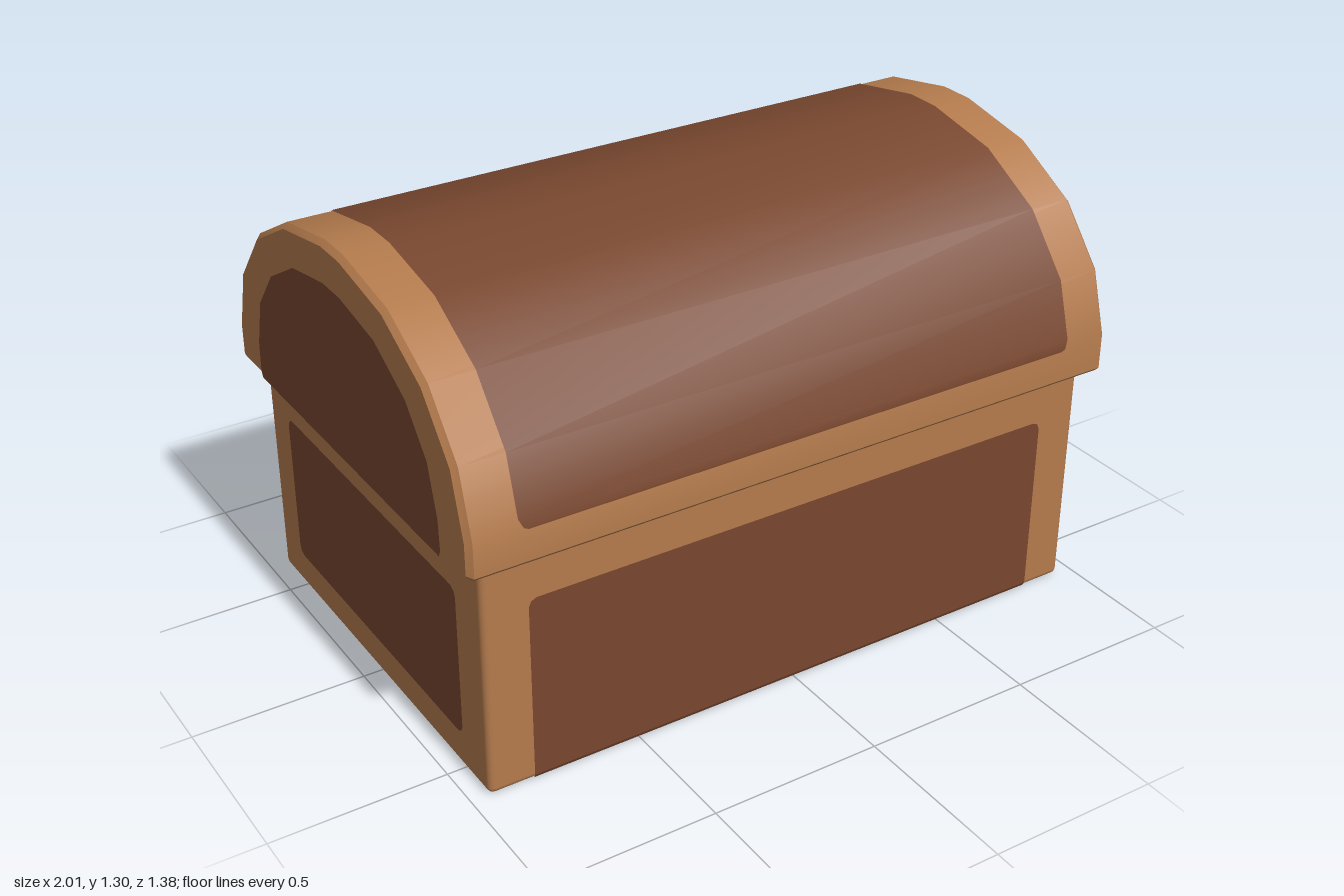
import * as THREE from 'three';
import { toCreasedNormals } from 'three/addons/utils/BufferGeometryUtils.js';
import { RoundedBoxGeometry } from 'three/addons/geometries/RoundedBoxGeometry.js';

const CREASE = 0.45;
const GAP = 0.003; // how far the painted panels stand off the frame

const lightWood = new THREE.MeshStandardMaterial({ color: 0xb47b4d });
lightWood.name = 'lightWood';
const darkWood = new THREE.MeshStandardMaterial({ color: 0x78472f });
darkWood.name = 'darkWood';

// Completes half a [z, y, ...] outline with its mirror image
const mirrored = (half) => [...half, ...half.map(([z, ...rest]) => [-z, ...rest]).reverse()];

const shapeFrom = (points) => new THREE.Shape(points.map(([z, y]) => new THREE.Vector2(z, y)));

// Sheet following a [z, y, halfWidth] path, spanning -halfWidth to +halfWidth in x
function wrapSheet(path) {
  const positions = [];
  const index = [];
  path.forEach(([z, y, w], i) => {
    positions.push(-w, y, z, w, y, z);
    const a = 2 * i;
    if (i < path.length - 1) index.push(a, a + 1, a + 3, a, a + 3, a + 2);
  });
  const geometry = new THREE.BufferGeometry();
  geometry.setAttribute('position', new THREE.Float32BufferAttribute(positions, 3));
  geometry.setIndex(index);
  return toCreasedNormals(geometry, CREASE);
}

function roundedRect(x0, y0, x1, y1, r) {
  const s = new THREE.Shape();
  s.absarc(x1 - r, y1 - r, r, 0, Math.PI / 2);
  s.absarc(x0 + r, y1 - r, r, Math.PI / 2, Math.PI);
  s.absarc(x0 + r, y0 + r, r, Math.PI, Math.PI * 1.5);
  s.absarc(x1 - r, y0 + r, r, Math.PI * 1.5, Math.PI * 2);
  return s;
}

export function createModel() {
  const group = new THREE.Group();
  const add = (name, geometry, material) => {
    const mesh = new THREE.Mesh(geometry, material);
    mesh.name = name;
    group.add(mesh);
    return mesh;
  };

  // Chest body frame, reaching a little into the lid
  const body = new RoundedBoxGeometry(1.9, 0.72, 1.28, 2, 0.018);
  body.translate(0, 0.36 + GAP, 0);
  add('bodyFrame', body, lightWood);

  // Dark panel running down the back, under the bottom and up the front
  const z = 0.64 + GAP;
  add('bodyWrapPanel', wrapSheet(mirrored([
    [-z, 0.56, 0.797], [-z, 0.553, 0.813], [-z, 0.537, 0.82],
    [-z, 0.018, 0.82], [-z + 0.006, 0.006, 0.82], [-z + 0.018, 0, 0.82],
  ])), darkWood);

  // Faceted barrel lid
  const arc = [[0.63, 0.985], [0.495, 1.145], [0.295, 1.255], [0.055, 1.3]];
  const bevel = 0.015;
  const lid = new THREE.ExtrudeGeometry(
    shapeFrom(mirrored([[0.672, 0.69], [0.685, 0.703], [0.685, 0.8], ...arc])),
    { depth: 2 - 2 * bevel, bevelSize: bevel, bevelThickness: bevel, bevelOffset: -bevel, bevelSegments: 1 },
  );
  lid.translate(0, 0, bevel - 1);
  lid.rotateY(Math.PI / 2);
  add('lidFrame', toCreasedNormals(lid, CREASE), lightWood);

  // Dark panel curving over the lid
  const lidPath = mirrored([
    [0.685, 0.795, 0.835], [0.685, 0.8, 0.848], [0.678, 0.825, 0.86],
    ...arc.map(([pz, py]) => [pz, py, 0.86]),
  ]);
  add('lidWrapPanel', wrapSheet(lidPath.map(([pz, py, w]) => [pz * 1.004, 0.69 + (py - 0.69) * 1.004, w])), darkWood);

  // End panels on both sides
  const lidEnd = shapeFrom(mirrored([
    [0.535, 0.692], [0.544, 0.71], [0.54, 0.8], [0.5, 0.94],
    [0.4, 1.06], [0.24, 1.15], [0.05, 1.185],
  ]));
  const bodyEnd = roundedRect(-0.507, 0.112, 0.507, 0.562, 0.03);
  for (const side of [1, -1]) {
    const label = side > 0 ? 'left' : 'right';
    const parts = [[label + 'LidPanel', lidEnd, 1], [label + 'BodyPanel', bodyEnd, 0.95]];
    for (const [name, shape, x] of parts) {
      const panel = add(name, new THREE.ShapeGeometry(shape, 4), darkWood);
      panel.rotation.y = side * Math.PI / 2;
      panel.position.x = side * (x + GAP);
    }
  }
  return group;
}
